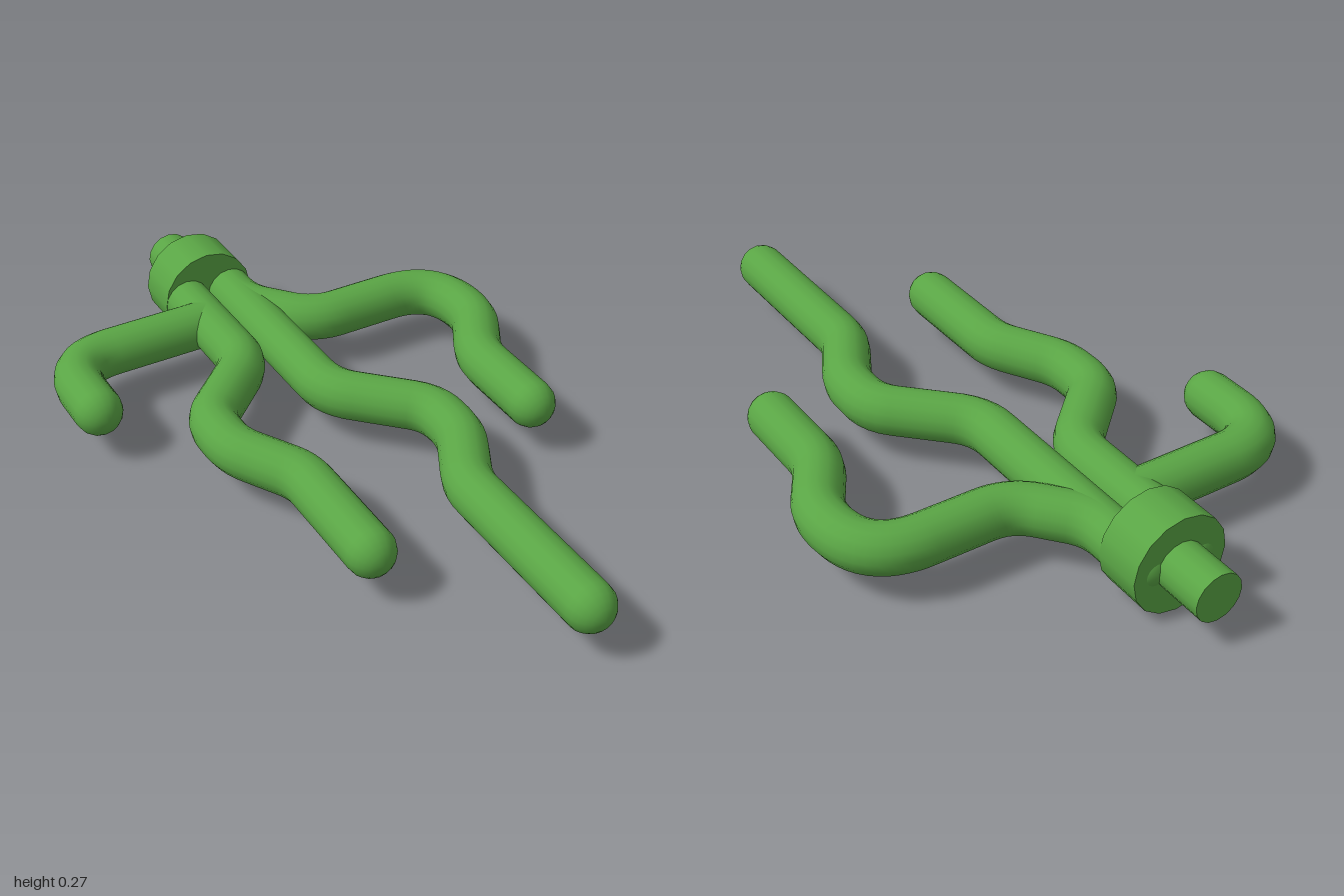
import * as THREE from 'three';

const Y = 0.137, R = 0.068, SIDES = 16, CENTRE_X = -0.055;

// Path through [x, z, bend] corners; bend is the distance over which a corner is rounded
function roundedPath(corners) {
  const pts = corners.map(([x, z]) => new THREE.Vector3(x, Y, z));
  const path = new THREE.CurvePath();
  let from = pts[0];
  for (let i = 1; i < pts.length - 1; i++) {
    const toward = (p) => p.clone().sub(pts[i]).setLength(corners[i][2]).add(pts[i]);
    const enter = toward(pts[i - 1]), leave = toward(pts[i + 1]);
    path.add(new THREE.LineCurve3(from, enter));
    path.add(new THREE.QuadraticBezierCurve3(enter, pts[i], leave));
    from = leave;
  }
  path.add(new THREE.LineCurve3(from, pts[pts.length - 1]));
  return path;
}

const ROOTS = {
  leftOuterRoot: [[0.013, -0.8], [0.013, -0.618, 0.06], [0.152, -0.452, 0.075],
    [0.563, -0.452, 0.17], [0.563, -0.223, 0.055], [0.463, -0.057, 0.06], [0.463, 0.2]],
  leftInnerRoot: [[0.013, -0.8], [0.013, -0.117, 0.07], [0.22, 0.09, 0.06],
    [0.22, 0.231, 0.055], [0.12, 0.413, 0.05], [0.12, 0.925]],
  rightInnerRoot: [[-0.123, -0.8], [-0.123, -0.35, 0.07], [-0.33, -0.157, 0.06],
    [-0.33, -0.01, 0.05], [-0.225, 0.175, 0.05], [-0.225, 0.507]],
  rightOuterRoot: [[-0.123, -0.593], [-0.57, -0.593, 0.15], [-0.57, -0.35]],
};

export function createModel() {
  const group = new THREE.Group();
  const material = new THREE.MeshStandardMaterial({ color: 0x5aa545 });

  const addDisc = (name, radius, z0, z1) => {
    const geometry = new THREE.CylinderGeometry(radius, radius, z1 - z0, SIDES).rotateX(Math.PI / 2);
    const mesh = new THREE.Mesh(geometry, material);
    mesh.name = name;
    mesh.position.set(CENTRE_X, Y, (z0 + z1) / 2);
    group.add(mesh);
  };

  // Stem stub and the collar the roots grow from
  addDisc('stem', R, -1, -0.8);
  addDisc('collar', 2 * R + 0.001, -0.86, -0.725);

  // Winding roots with rounded tips
  for (const [name, corners] of Object.entries(ROOTS)) {
    const root = new THREE.Group();
    root.name = name;
    const tube = new THREE.Mesh(new THREE.TubeGeometry(roundedPath(corners), 72, R, SIDES), material);
    tube.name = 'rootTube';
    root.add(tube);
    for (const [x, z] of [corners[0], corners[corners.length - 1]]) {
      const tip = new THREE.Mesh(new THREE.SphereGeometry(R, SIDES, 12).rotateX(Math.PI / 2), material);
      tip.name = 'rootTip';
      tip.position.set(x, Y, z);
      root.add(tip);
    }
    group.add(root);
  }
  return group;
}
